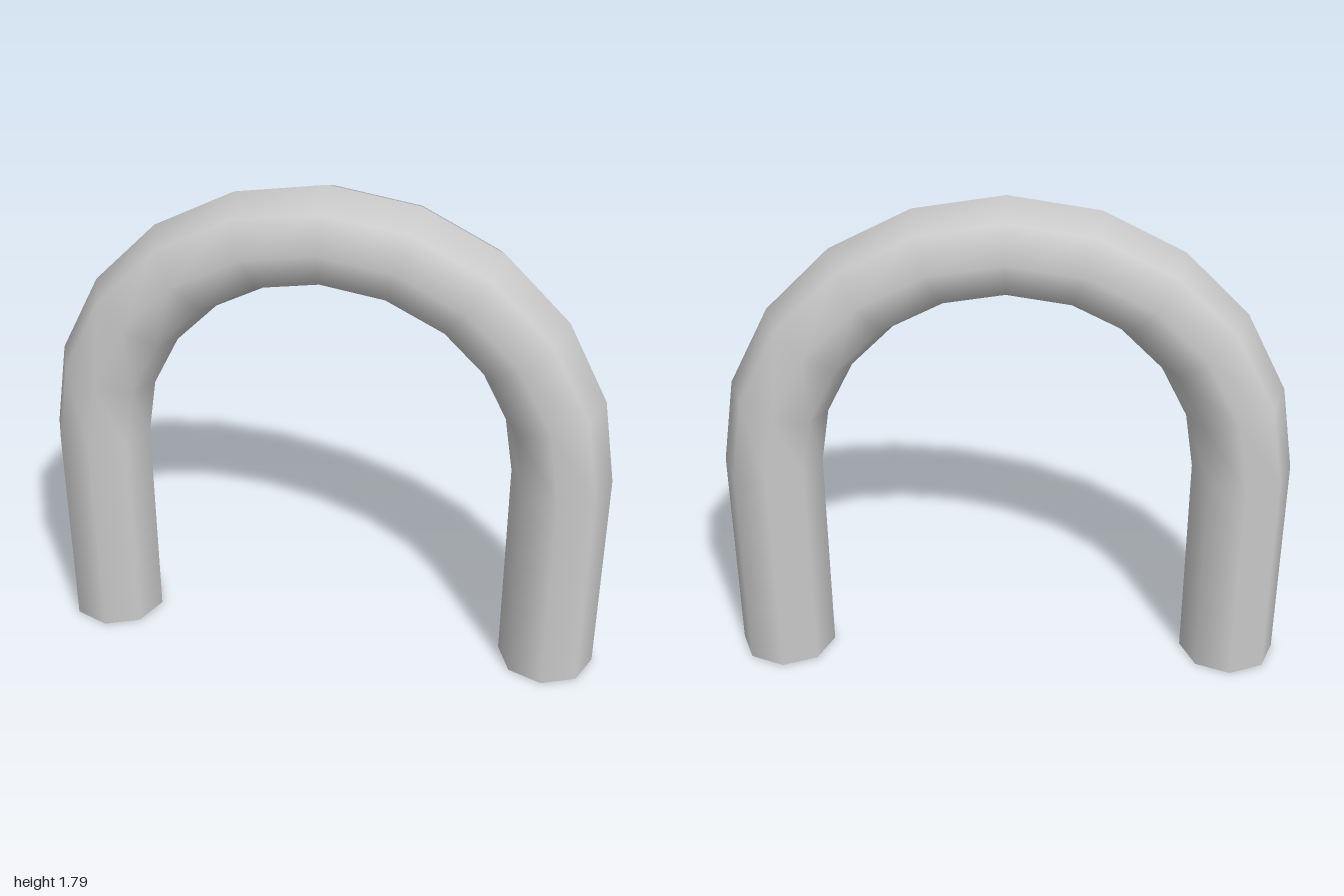
import * as THREE from 'three';

const TUBE = 0.173;          // pipe radius
const BEND = 1 - TUBE;       // centreline radius of the bend
const LEG = 0.787;           // straight leg length
const SIDES = 8;

export function createModel() {
  const group = new THREE.Group();
  group.name = 'bentPipe';
  // Open-ended pipe, so the inside shows as well
  const material = new THREE.MeshStandardMaterial({ color: 0xcccccc, side: THREE.DoubleSide });

  // Half-circle bend
  const bend = new THREE.Mesh(new THREE.TorusGeometry(BEND, TUBE, SIDES, 10, Math.PI), material);
  bend.name = 'bend';
  bend.position.y = LEG;
  group.add(bend);

  // Straight legs, open at the bottom
  const legGeometry = new THREE.CylinderGeometry(TUBE, TUBE, LEG, SIDES, 1, true);
  for (const [name, side] of [['leftLeg', 1], ['rightLeg', -1]]) {
    const leg = new THREE.Mesh(legGeometry, material);
    leg.name = name;
    leg.position.set(side * BEND, LEG / 2, 0);
    group.add(leg);
  }
  return group;
}
